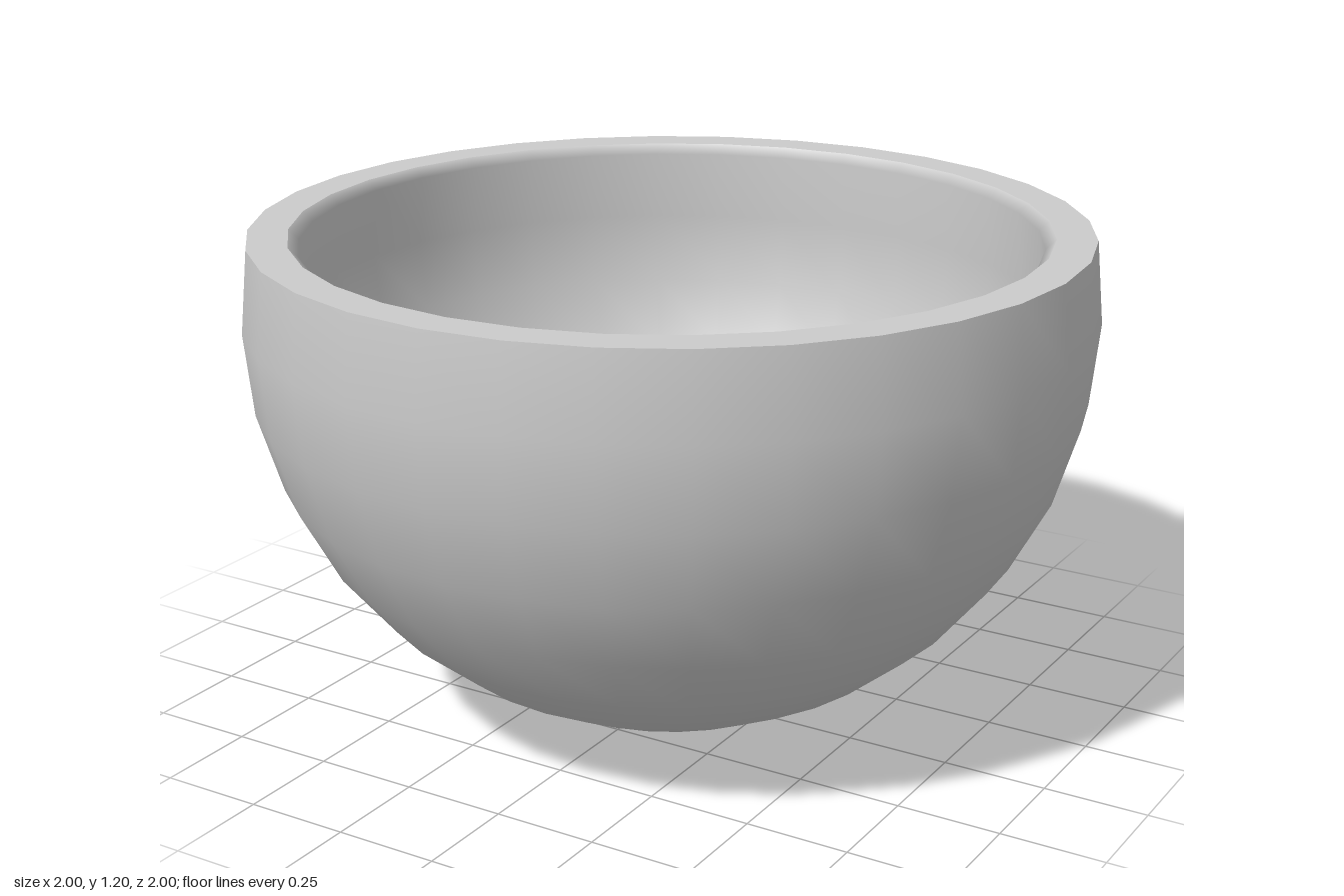
import * as THREE from 'three';

const SEGMENTS = 32;
const STEP = Math.PI / 16; // angle between rings
const RINGS = 9;           // from the bottom pole to just above the equator

// Profile of a sphere centred at y = 1, from the bottom pole upwards
function arc(radius) {
  const points = [];
  for (let i = 0; i <= RINGS; i++) {
    points.push(new THREE.Vector2(radius * Math.sin(i * STEP), 1 - radius * Math.cos(i * STEP)));
  }
  points[0].x = 0;
  return points;
}

export function createModel() {
  const group = new THREE.Group();
  group.name = 'bowl';
  const material = new THREE.MeshStandardMaterial({ color: 0xcccccc });

  const add = (name, points) => {
    const mesh = new THREE.Mesh(new THREE.LatheGeometry(points, SEGMENTS), material);
    mesh.name = name;
    group.add(mesh);
  };

  const outer = arc(1);
  const inner = arc(0.88);
  const top = outer[RINGS];
  const lip = new THREE.Vector2(0.887, top.y); // inner edge of the flat rim

  add('outerShell', outer);
  add('rim', [top, lip]);
  // Small slope inside the rim, then the hollow down to its floor
  add('innerShell', [lip, ...inner.reverse()]);
  return group;
}
